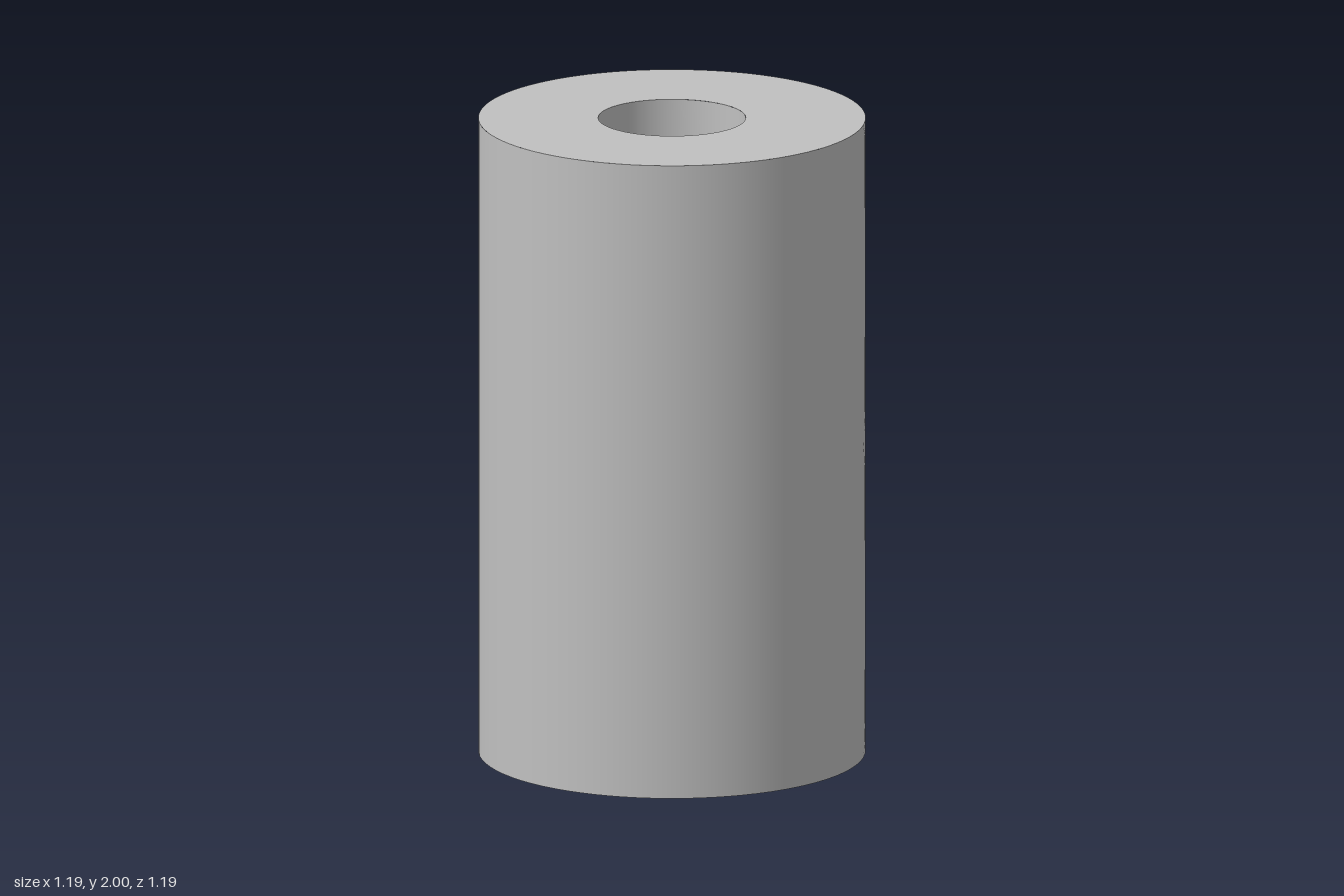
import * as THREE from 'three';

const HEIGHT = 2, OUTER = 0.593, BORE = 0.226, HOLE = 0.187;
const HOLE_HEIGHTS = [0.373, 1.627];
const { sin, cos, asin, abs, max, PI } = Math;

// Grid surface from a rule (u, v) -> { p: position, n: normal }
function surface(rule, nu, nv, flip = false) {
  const positions = [], normals = [], index = [];
  for (let i = 0; i <= nu; i++) {
    for (let j = 0; j <= nv; j++) {
      const { p, n } = rule(i / nu, j / nv);
      positions.push(...p);
      normals.push(...n);
      if (i === nu || j === nv) continue;
      const a = i * (nv + 1) + j, b = a + 1, d = a + nv + 1, c = d + 1;
      index.push(...(flip ? [a, c, b, a, d, c] : [a, b, c, a, c, d]));
    }
  }
  const g = new THREE.BufferGeometry();
  g.setAttribute('position', new THREE.Float32BufferAttribute(positions, 3));
  g.setAttribute('normal', new THREE.Float32BufferAttribute(normals, 3));
  g.setIndex(index);
  return g;
}

// Point on an upright cylinder; angle 0 faces +x
function onWall(radius, angle, y, sign) {
  return {
    p: [radius * cos(angle), y, -radius * sin(angle)],
    n: [sign * cos(angle), 0, -sign * sin(angle)],
  };
}

export function createModel() {
  const group = new THREE.Group();
  const steel = new THREE.MeshStandardMaterial({ color: 0xc0c0c0 });
  steel.name = 'steelGrey';
  const add = (name, geometry) => {
    const mesh = new THREE.Mesh(geometry, steel);
    mesh.name = name;
    group.add(mesh);
    return mesh;
  };

  // Curved wall: plain around the back, pierced panels on the +x side
  function wall(name, radius, halfAngle, sign) {
    const flip = sign < 0;
    add(name, surface((u, v) =>
      onWall(radius, 2 * PI - halfAngle - u * 2 * (PI - halfAngle), v * HEIGHT, sign), 64, 1, flip));
    HOLE_HEIGHTS.forEach((holeY, k) => {
      const panelY = HEIGHT * (0.25 + 0.5 * k);
      add(name + 'Panel', surface((u, v) => {
        const t = u * 2 * PI, m = max(abs(cos(t)), abs(sin(t)));
        // Blend from the hole's rim to the panel's rectangular border
        const a = THREE.MathUtils.lerp(asin(HOLE * cos(t) / radius), halfAngle * cos(t) / m, v);
        const y = THREE.MathUtils.lerp(holeY + HOLE * sin(t), panelY + HEIGHT / 4 * sin(t) / m, v);
        return onWall(radius, a, y, sign);
      }, 64, 10, flip));
    });
  }
  wall('outerWall', OUTER, 0.6, 1);
  wall('boreWall', BORE, 1.3, -1);

  // Cross holes running from the bore out to the side
  for (const holeY of HOLE_HEIGHTS) {
    add('screwHole', surface((u, v) => {
      const t = u * 2 * PI, z = -HOLE * cos(t);
      const x = THREE.MathUtils.lerp(Math.sqrt(BORE ** 2 - z * z), Math.sqrt(OUTER ** 2 - z * z), v);
      return { p: [x, holeY + HOLE * sin(t), z], n: [0, -sin(t), cos(t)] };
    }, 64, 1));
  }

  // Flat ring ends
  const ring = new THREE.RingGeometry(BORE, OUTER, 96);
  const top = add('topFace', ring);
  top.rotation.x = -PI / 2;
  top.position.y = HEIGHT;
  add('bottomFace', ring).rotation.x = PI / 2;

  return group;
}
